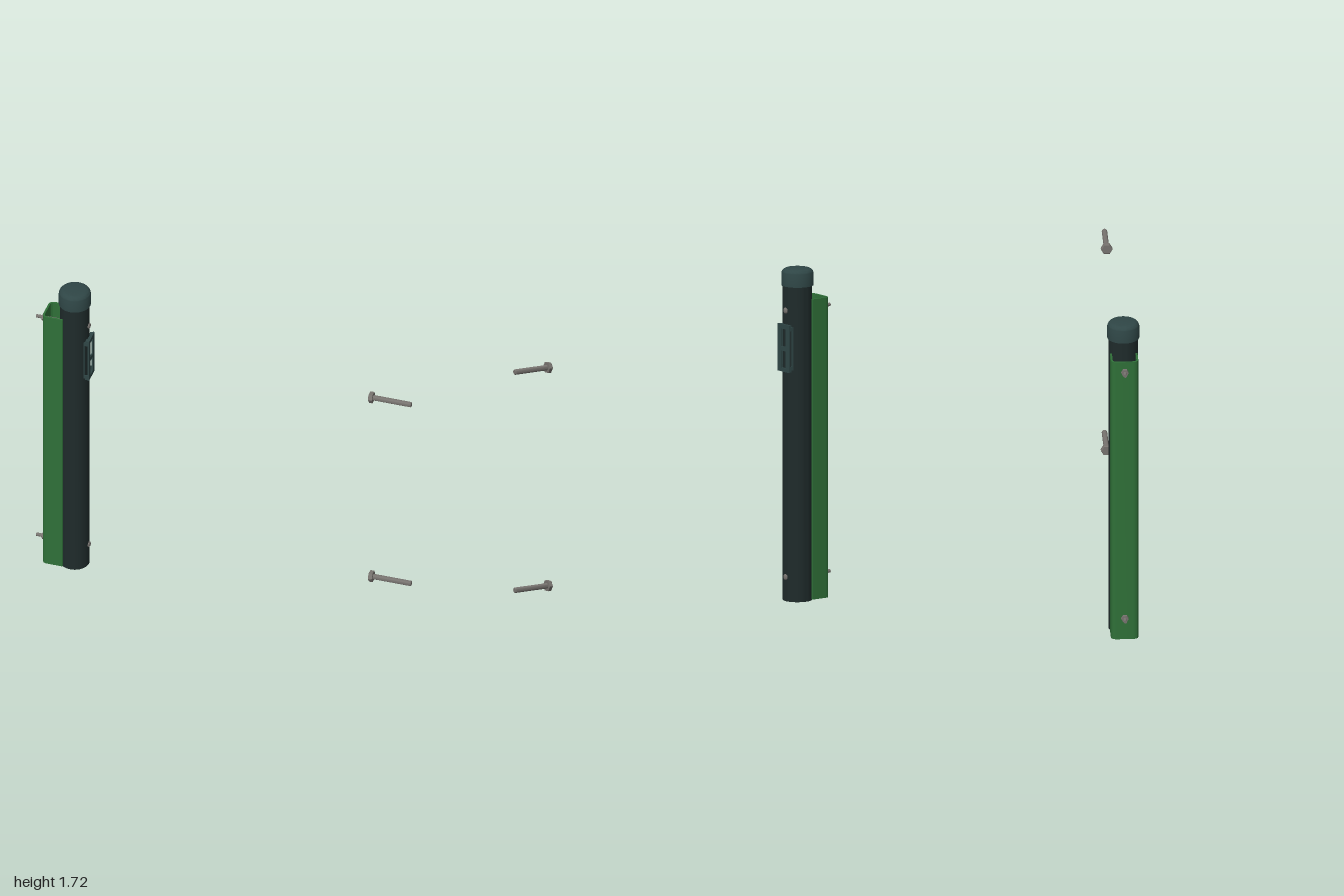
import * as THREE from 'three';
import { toCreasedNormals } from 'three/addons/utils/BufferGeometryUtils.js';

const mat = (color) => new THREE.MeshStandardMaterial({ color, side: THREE.DoubleSide });
const postMat = mat(0x1f2b2b), capMat = mat(0x2f4646), greenMat = mat(0x2f7038), steelMat = mat(0x77736f);
const POST_X = -0.795;

function add(parent, name, geometry, material, x = 0, y = 0, z = 0) {
  const mesh = new THREE.Mesh(geometry, material);
  mesh.name = name;
  mesh.position.set(x, y, z);
  parent.add(mesh);
  return mesh;
}

// Turned profile of [radius, height] pairs with crisp edges
function turned(points, segments) {
  const g = new THREE.LatheGeometry(points.map(([r, h]) => new THREE.Vector2(r, h)), segments);
  return toCreasedNormals(g, 0.6);
}

// Same, with its axis along +x
const turnedX = (points, segments) => turned(points, segments).rotateZ(-Math.PI / 2);

// Upright plate with rectangular windows; u runs along the width, v is height
function plate(w, h, depth, windows) {
  const rect = (P, x0, y0, x1, y1) => new P([[x0, y0], [x1, y0], [x1, y1], [x0, y1]].map(([x, y]) => new THREE.Vector2(x, y)));
  const shape = rect(THREE.Shape, -w / 2, 0, w / 2, h);
  windows.forEach((q) => shape.holes.push(rect(THREE.Path, ...q)));
  return new THREE.ExtrudeGeometry(shape, { depth, bevelEnabled: false });
}

export function createModel() {
  const model = new THREE.Group();
  model.name = 'fencePostKit';

  // Hollow round post
  add(model, 'post', turned([[0.069, 0], [0.075, 0], [0.075, 1.65], [0.069, 1.65], [0.069, 0]], 48), postMat, POST_X);

  // Rounded cap pushed over the top of the post
  const cap = [[0.074, 1.63], [0.082, 1.63], [0.082, 1.69]];
  for (let i = 1; i <= 6; i++) {
    const a = (i / 6) * Math.PI / 2;
    cap.push([0.054 + 0.028 * Math.cos(a), 1.69 + 0.028 * Math.sin(a)]);
  }
  cap.push([0, 1.72]);
  add(model, 'cap', turned(cap, 48), capMat, POST_X);

  // U-shaped cover strip, open towards the post
  const x0 = -0.95, x1 = -0.84, w = 0.07, t = 0.01, r = 0.03;
  const u = new THREE.Shape();
  u.moveTo(x1, -w);
  u.lineTo(x0 + r, -w);
  u.quadraticCurveTo(x0, -w, x0, -w + r);
  u.lineTo(x0, w - r);
  u.quadraticCurveTo(x0, w, x0 + r, w);
  u.lineTo(x1, w);
  u.lineTo(x1, w - t);
  u.lineTo(x0 + r, w - t);
  u.quadraticCurveTo(x0 + t, w - t, x0 + t, w - r);
  u.lineTo(x0 + t, -w + r);
  u.quadraticCurveTo(x0 + t, -w + t, x0 + r, -w + t);
  u.lineTo(x1, -w + t);
  u.closePath();
  const strip = new THREE.ExtrudeGeometry(u, { depth: 1.555, bevelEnabled: false, curveSegments: 8 });
  add(model, 'coverStrip', toCreasedNormals(strip.rotateX(-Math.PI / 2), 0.6), greenMat, 0, 0.005);

  // Through screws with a domed head on the post and a nut on the strip
  for (const y of [0.125, 1.505]) {
    const screw = new THREE.Group();
    screw.name = 'throughScrew';
    screw.position.y = y;
    model.add(screw);
    add(screw, 'screwRod', turnedX([[0, -1], [0.009, -1], [0.009, -0.72], [0, -0.72]], 16), steelMat);
    add(screw, 'screwNut', turnedX([[0, -0.967], [0.019, -0.967], [0.019, -0.945], [0, -0.945]], 6), steelMat);
    add(screw, 'screwHead', turnedX([[0, -0.724], [0.016, -0.724], [0.015, -0.717], [0.009, -0.712], [0, -0.71]], 20), steelMat);
  }

  // Slotted bracket standing on the post, with open sides
  const bracket = new THREE.Group();
  bracket.name = 'bracket';
  bracket.position.y = 1.19;
  model.add(bracket);
  const face = plate(0.094, 0.245, 0.007, [[-0.018, 0.02, 0.018, 0.108], [-0.018, 0.13, 0.018, 0.222]]);
  add(bracket, 'bracketFace', face.rotateY(Math.PI / 2), capMat, -0.712);
  for (const s of [-1, 1]) {
    add(bracket, 'bracketSide', plate(0.026, 0.225, 0.005, [[-0.006, 0.02, 0.013 - 0.002, 0.205]]), capMat,
      -0.723, 0.01, s * 0.0425 - 0.0025);
  }
  for (const y of [0.005, 0.24]) add(bracket, 'bracketEnd', new THREE.BoxGeometry(0.016, 0.008, 0.086), capMat, -0.718, y);

  // Loose hex bolts
  for (const y of [0.255, 1.385]) {
    const bolt = new THREE.Group();
    bolt.name = 'looseBolt';
    bolt.position.y = y;
    model.add(bolt);
    const head = turnedX([[0, 0.775], [0.026, 0.775], [0.03, 0.779], [0.03, 0.797], [0, 0.797]], 6);
    add(bolt, 'boltHead', head, steelMat);
    add(bolt, 'boltShank', turnedX([[0, 0.79], [0.014, 0.79], [0.014, 0.997], [0.011, 1], [0, 1]], 24), steelMat);
  }
  return model;
}
